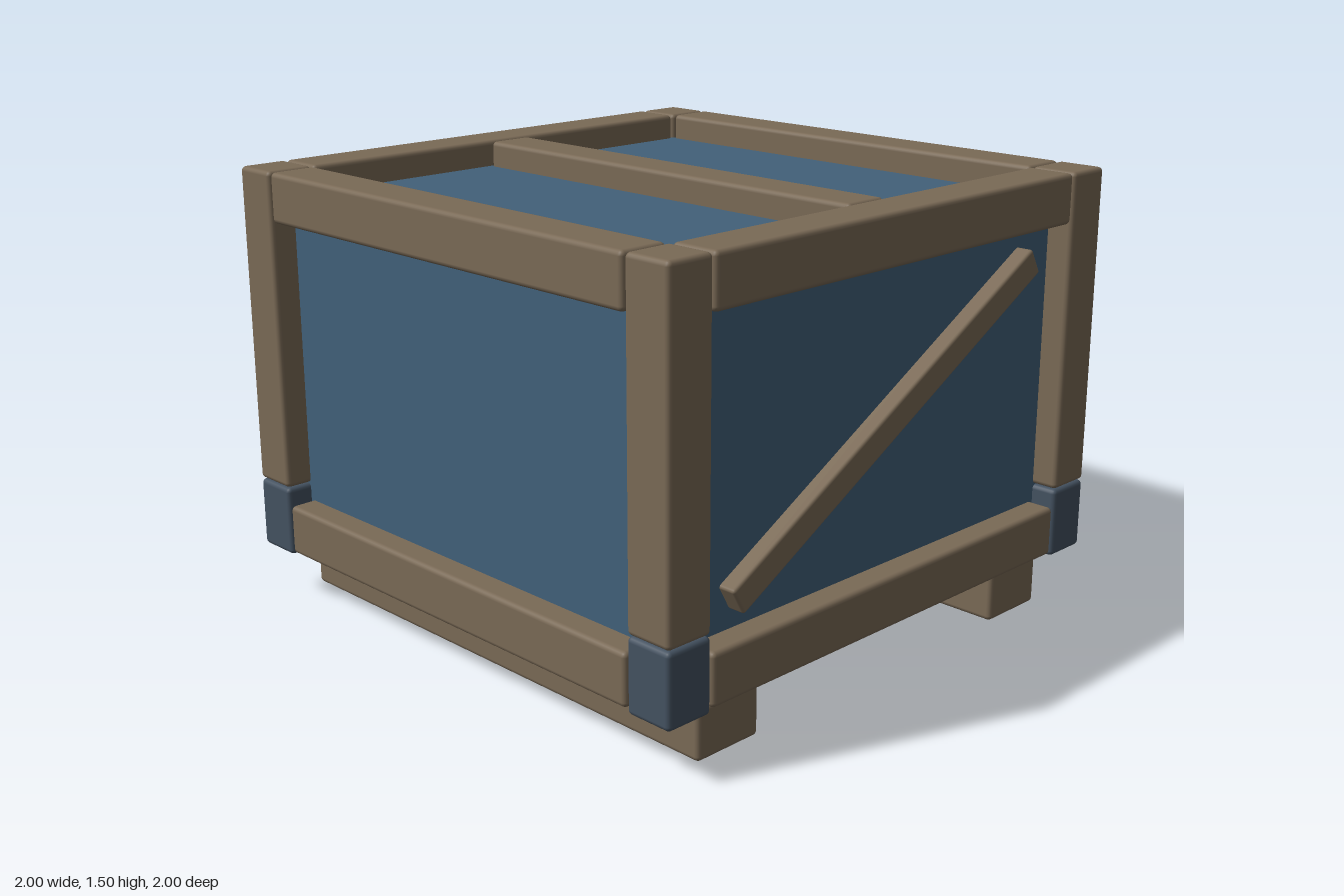
import * as THREE from 'three';
import { RoundedBoxGeometry } from 'three/addons/geometries/RoundedBoxGeometry.js';

const mat = (color) => new THREE.MeshStandardMaterial({ color });

export function createModel() {
  const crate = new THREE.Group();
  crate.name = 'crate';
  const wood = mat(0x7a6a56), blue = mat(0x42617a), steel = mat(0x445261), amber = mat(0xd9a862);

  // Soft-edged box given by its extents on each axis
  function block(name, material, [x0, x1], [y0, y1], [z0, z1], radius = 0.016) {
    const geometry = new RoundedBoxGeometry(x1 - x0, y1 - y0, z1 - z0, 2, radius);
    const mesh = new THREE.Mesh(geometry, material);
    mesh.position.set((x0 + x1) / 2, (y0 + y1) / 2, (z0 + z1) / 2);
    mesh.name = name;
    crate.add(mesh);
    return mesh;
  }
  // Span of a beam lying along the outer edge on the given side
  const edge = (side) => (side > 0 ? [0.832, 1] : [-1, -0.832]);
  const span = [-0.826, 0.826];

  // Panelled body
  const body = new THREE.Mesh(new THREE.BoxGeometry(1.82, 1.235, 1.82), blue);
  body.position.y = 0.175 + 1.235 / 2;
  body.name = 'bodyPanels';
  crate.add(body);

  // Corner posts with metal feet
  for (const sx of [-1, 1]) {
    for (const sz of [-1, 1]) {
      block('cornerPost', wood, edge(sx), [0.42, 1.5], edge(sz));
      block('cornerFoot', steel, edge(sx), [0.178, 0.417], edge(sz));
    }
  }

  // Upper and lower rails on all four sides, plus skids and diagonal braces
  for (const side of [-1, 1]) {
    for (const height of [[0.19, 0.36], [1.333, 1.5]]) {
      block('frontBackRail', wood, span, height, edge(side));
      block('sideRail', wood, edge(side), height, span);
    }
    block('skid', wood, side > 0 ? [0.573, 0.826] : [-0.826, -0.573], [0, 0.172], [-0.942, 0.942]);

    const brace = block('diagonalBrace', wood, [-0.79, 0.79], [0.797, 0.893],
      side > 0 ? [0.88, 0.968] : [-0.968, -0.88], 0.01);
    brace.rotation.z = Math.atan2(0.77, 1.38);
  }

  // Lid batten
  block('lidBatten', wood, [-0.083, 0.083], [1.335, 1.498], span);

  // Blank tag on one side
  block('sideTag', amber, [0.895, 0.926], [1.04, 1.225], [-0.677, -0.405], 0.008);

  return crate;
}
